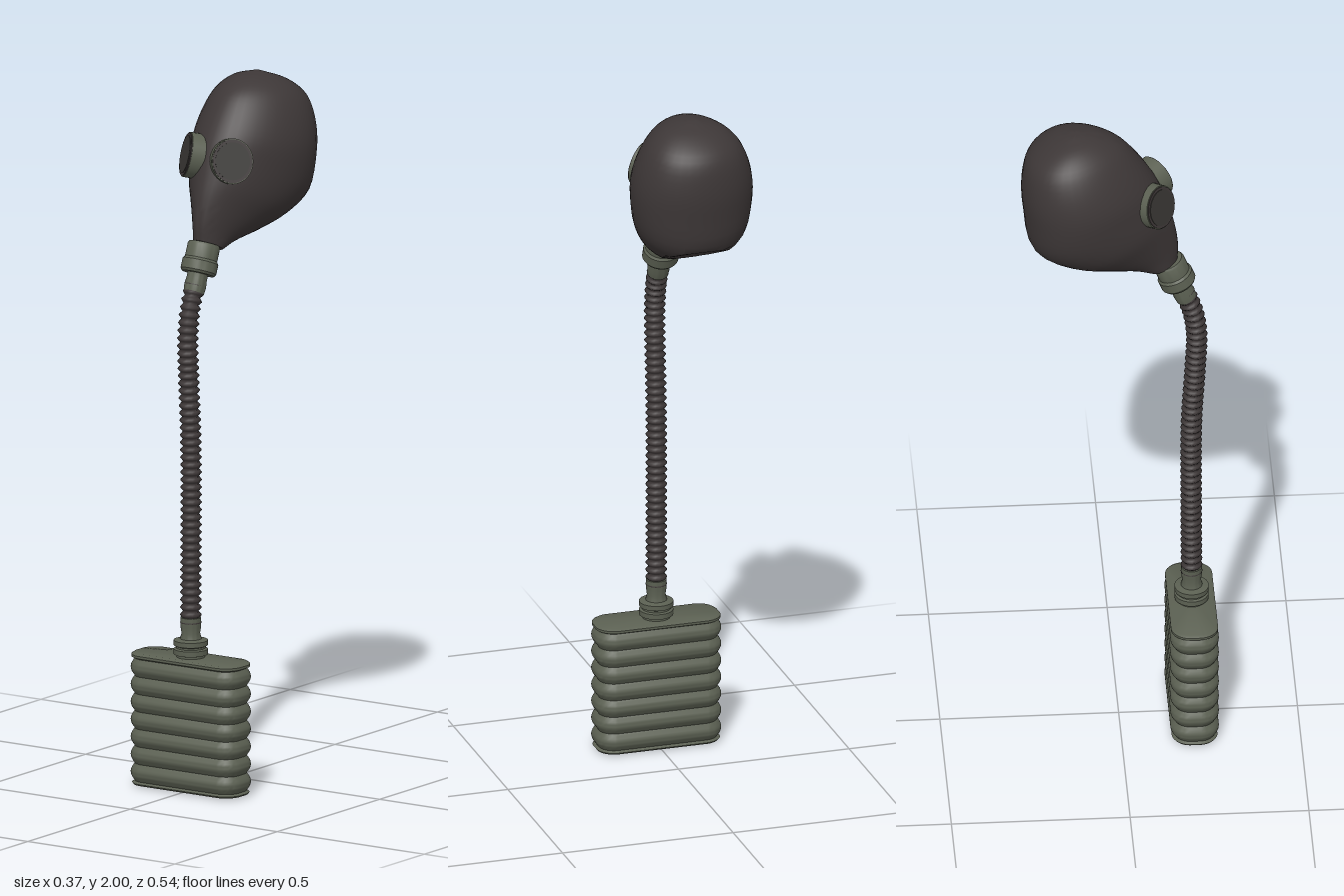
import * as THREE from 'three';
import { toCreasedNormals } from 'three/addons/utils/BufferGeometryUtils.js';

const V = (x, y, z) => new THREE.Vector3(x, y, z);
const mat = (name, color) => Object.assign(new THREE.MeshStandardMaterial({ color }), { name });

// Skin a stack of closed rings (bottom to top) and cap both ends.
function loft(rings, crease) {
  const n = rings[0].length, pos = [], idx = [];
  rings.forEach(r => r.forEach(p => pos.push(p.x, p.y, p.z)));
  for (let i = 0; i < rings.length - 1; i++) {
    for (let j = 0; j < n; j++) {
      const a = i * n + j, b = i * n + (j + 1) % n;
      idx.push(a, b, b + n, a, b + n, a + n);
    }
  }
  [0, rings.length - 1].forEach((i, top) => {
    const c = rings[i].reduce((s, p) => s.add(p), V(0, 0, 0)).divideScalar(n);
    const k = pos.length / 3;
    pos.push(c.x, c.y, c.z);
    for (let j = 0; j < n; j++) {
      const a = i * n + j, b = i * n + (j + 1) % n;
      idx.push(k, top ? a : b, top ? b : a);
    }
  });
  const g = new THREE.BufferGeometry();
  g.setAttribute('position', new THREE.Float32BufferAttribute(pos, 3));
  g.setIndex(idx);
  return toCreasedNormals(g, crease);
}

const lathe = pts => toCreasedNormals(
  new THREE.LatheGeometry(pts.map(p => new THREE.Vector2(...p)), 28), 0.6);

// Hood: sections fan from the snout to the crown.
function hoodGeometry() {
  // front z, front y, back z, back y, half width
  const sections = [
    [.165, 1.565, .085, 1.525, .042], [.166, 1.61, .03, 1.54, .056],
    [.156, 1.68, -.06, 1.555, .09], [.14, 1.74, -.16, 1.585, .132],
    [.12, 1.8, -.245, 1.64, .158], [.095, 1.85, -.267, 1.75, .168],
    [.055, 1.91, -.272, 1.84, .156], [.01, 1.96, -.255, 1.92, .126],
    [-.05, 1.99, -.2, 1.97, .078], [-.11, 2, -.13, 1.999, .01],
  ];
  const front = new THREE.CatmullRomCurve3(sections.map(s => V(s[4], s[1], s[0])));
  const back = new THREE.CatmullRomCurve3(sections.map(s => V(0, s[3], s[2])));
  const rings = [], steps = 36, n = 40;
  for (let i = 0; i <= steps; i++) {
    const f = front.getPoint(i / steps), b = back.getPoint(i / steps), ring = [];
    for (let j = 0; j < n; j++) {
      const t = j / n * Math.PI * 2, m = (1 + Math.cos(t)) / 2;
      const z = b.z + (f.z - b.z) * m;
      // the neck opening is cut off along a sloping plane
      const y = Math.max(b.y + (f.y - b.y) * m, 1.575 - .467 * (z + .09));
      ring.push(V(f.x * Math.sin(t) * (1 - .2 * Math.cos(t)), y, z));
    }
    rings.push(ring);
  }
  return loft(rings, 0.7);
}

// Canister: rounded box with horizontal ribs.
function canisterGeometry() {
  const R = .056, hx = .184, hz = .068, n = 40, ribs = 7, per = 8;
  const ring = (y, o) => Array.from({ length: n }, (_, j) => {
    const t = (j + .5) / n * Math.PI * 2, s = Math.sin(t), c = Math.cos(t);
    return V(Math.sign(s) * (hx - R) + (R + o) * s, y, Math.sign(c) * (hz - R) + (R + o) * c);
  });
  const rings = [ring(.005, -.008), ring(.01, -.004)];
  for (let i = 0; i <= ribs * per; i++) {
    const u = i / (ribs * per);
    rings.push(ring(.015 + u * .35, -.012 * (1 - Math.abs(Math.sin(u * ribs * Math.PI)))));
  }
  rings.push(ring(.37, -.002), ring(.377, -.002), ring(.382, -.01));
  return loft(rings, 0.6);
}

// Hose: tube whose radius swells at each corrugation.
function hoseGeometry() {
  const path = new THREE.CatmullRomCurve3([
    V(0, .47, .204), V(0, .7, .203), V(0, 1, .204), V(0, 1.18, .214),
    V(0, 1.3, .218), V(0, 1.38, .206), V(0, 1.45, .18)]);
  const ribs = 46, per = 4, sides = 16, r = .025;
  const g = new THREE.TubeGeometry(path, ribs * per, r, sides);
  const p = g.attributes.position, v = V(0, 0, 0);
  for (let i = 0; i < p.count; i++) {
    const k = Math.floor(i / (sides + 1));
    const c = path.getPointAt(k / (ribs * per));
    const scale = 1 + .22 * Math.sin(k / per * Math.PI * 2 - Math.PI / 2) * .8;
    v.fromBufferAttribute(p, i).sub(c).multiplyScalar(scale * 1.04).add(c);
    p.setXYZ(i, v.x, v.y, v.z);
  }
  g.computeVertexNormals();
  return g;
}

export function createModel() {
  const model = new THREE.Group();
  model.name = 'gasMask';
  const rubber = mat('dark rubber', 0x3d3737);
  const olive = mat('olive metal', 0x5b6052);
  const glass = mat('dark glass', 0x383633);
  const black = mat('dark hole', 0x2b2c28);
  const add = (name, geo, material, parent = model) => {
    const m = new THREE.Mesh(geo, material);
    m.name = name;
    parent.add(m);
    return m;
  };

  add('hood', hoodGeometry(), rubber);
  add('hose', hoseGeometry(), rubber);

  // Eyepieces
  for (const side of [-1, 1]) {
    const eye = new THREE.Group();
    eye.name = side > 0 ? 'leftEyepiece' : 'rightEyepiece';
    eye.position.set(side * .073, 1.79, .107);
    eye.rotation.set(-.22, side * .75, 0, 'YXZ');
    eye.scale.set(.92, 1, 1);
    const disc = (name, r, depth, z, m) => {
      const g = new THREE.CylinderGeometry(r, r, depth, 32).rotateX(Math.PI / 2);
      add(name, g, m, eye).position.z = z;
    };
    disc('eyeRim', .064, .04, -.012, olive);
    disc('eyeSeal', .061, .006, .008, rubber);
    disc('eyeLens', .053, .006, .01, glass);
    model.add(eye);
  }

  // Connector between snout and hose
  const connector = add('snoutConnector', lathe([
    [.02, 0], [.029, 0], [.031, .02], [.029, .04], [.029, .055], [.046, .055], [.051, .062],
    [.051, .09], [.046, .097], [.046, .135], [.042, .142], [.02, .142]]), olive);
  connector.position.set(0, 1.42, .19);
  connector.rotation.x = -.38;

  // Connector between hose and canister
  add('canisterConnector', lathe([
    [.04, .375], [.04, .388], [.048, .39], [.048, .405], [.041, .408], [.041, .413],
    [.048, .416], [.048, .43], [.03, .434], [.026, .45], [.029, .47], [.029, .495], [.02, .495]]),
  olive).position.z = .204;

  // Filter canister with its air inlet underneath
  add('canister', canisterGeometry(), olive).position.z = .204;
  add('inletRim', lathe([[.028, .006], [.028, 0], [.04, 0], [.04, .008]]), olive).position.z = .204;
  add('inletHole', new THREE.CylinderGeometry(.028, .028, .004, 28), black).position.set(0, .004, .204);
  return model;
}
